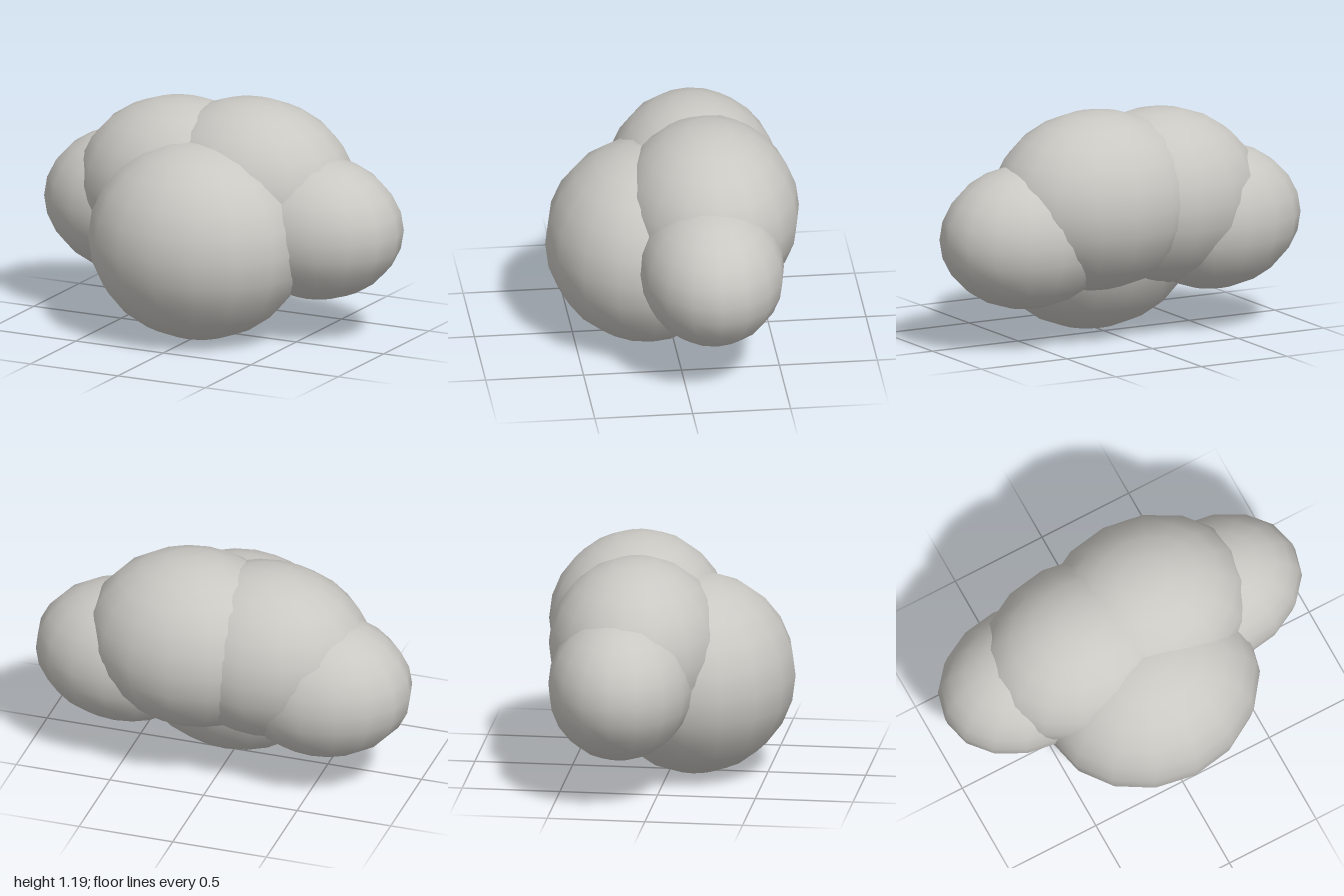
import * as THREE from 'three';

export function createModel() {
  const group = new THREE.Group();
  group.name = 'cloud';
  const cloudGrey = new THREE.MeshStandardMaterial({ color: 0xcac8c3 });
  cloudGrey.name = 'cloudGrey';

  // one smooth sphere, stretched sideways for every puff
  const sphere = new THREE.SphereGeometry(1, 16, 12);
  const puffs = [
    // name, centre, radii
    ['frontPuff', [0.01, 0.515, 0.13], [0.575, 0.51, 0.51]],
    ['upperLeftPuff', [0.15, 0.735, -0.18], [0.56, 0.46, 0.46]],
    ['upperRightPuff', [-0.227, 0.715, -0.145], [0.55, 0.45, 0.447]],
    ['sideLeftPuff', [0.53, 0.58, -0.15], [0.47, 0.37, 0.37]],
    ['sideRightPuff', [-0.53, 0.585, -0.185], [0.47, 0.375, 0.37]],
  ];
  for (const [name, centre, radii] of puffs) {
    const puff = new THREE.Mesh(sphere, cloudGrey);
    puff.name = name;
    puff.position.set(...centre);
    puff.scale.set(...radii);
    group.add(puff);
  }
  return group;
}
